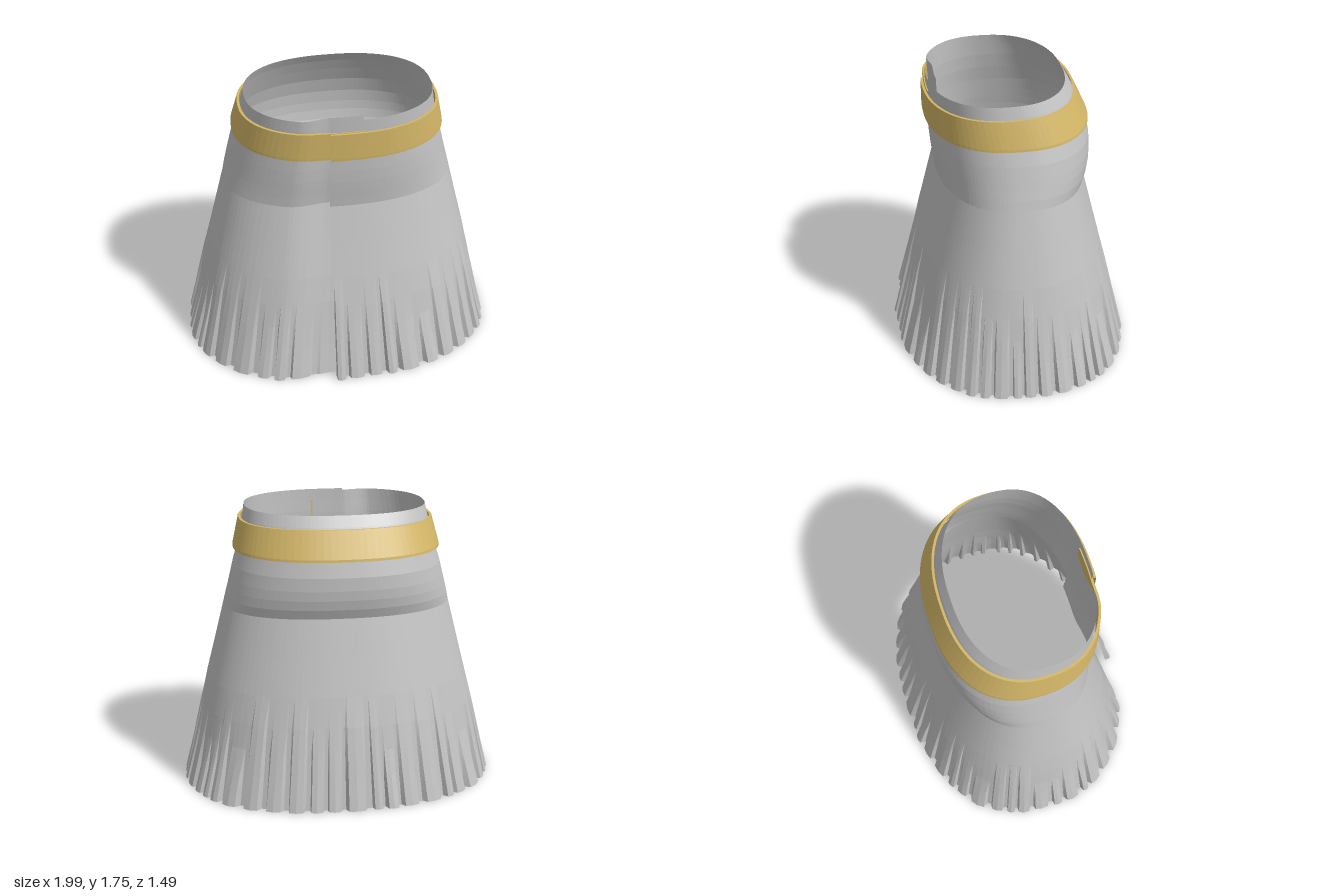
import * as THREE from 'three';

const cloth = new THREE.MeshStandardMaterial({ color: 0xc2c2c2, flatShading: true, side: THREE.DoubleSide });
cloth.name = 'grey cloth';
const gold = new THREE.MeshStandardMaterial({ color: 0xd2b566, flatShading: true, side: THREE.DoubleSide });
gold.name = 'gold belt';

let seed = 11;
function rand() {
  seed = (seed * 16807) % 2147483647;
  return seed / 2147483647;
}

const smooth = (a, b, v) => THREE.MathUtils.smoothstep(v, a, b);

// Wraps a sheet around the body: each level is [y, half width, front z, back z],
// each column is { u, bump, height }. The sheet starts at the front seam and ends tucked under itself.
function wrapSheet(levels, columns, tuck) {
  const pos = [], index = [], n = 2.35;
  for (const [y, a, front, back] of levels) {
    const start = -Math.asin(0.11 / a);
    const end = Math.PI * 2 + Math.asin(0.1 / a);
    for (const { u, bump, height } of columns) {
      const phi = start + (end - start) * u;
      const under = smooth(Math.PI * 2 - 0.5, Math.PI * 2 + start, phi);
      const s = Math.sin(phi), c = Math.cos(phi);
      const q = Math.pow(Math.abs(s) ** n + Math.abs(c) ** n, -1 / n);
      const out = bump * Math.max(0, 1 - y / height) * (1 - under) - tuck * under;
      const mid = (front + back) / 2, depth = (front - back) / 2;
      pos.push((a + out) * s * q, y, mid + (depth + out) * c * q);
    }
  }
  const w = columns.length;
  for (let r = 0; r < levels.length - 1; r++) {
    for (let i = 0; i < w - 1; i++) {
      const p = r * w + i;
      index.push(p, p + 1, p + w + 1, p, p + w + 1, p + w);
    }
  }
  const geo = new THREE.BufferGeometry();
  geo.setAttribute('position', new THREE.Float32BufferAttribute(pos, 3));
  geo.setIndex(index);
  geo.computeVertexNormals();
  return geo;
}

// Irregular pleats: a flat ridge, two steep sides and a narrow valley each
function pleatColumns(count) {
  const widths = Array.from({ length: count }, () => 0.6 + 0.8 * rand());
  const total = widths.reduce((s, v) => s + v, 0);
  const columns = [];
  let at = 0;
  for (const width of widths) {
    const height = 0.33 + 0.35 * rand();
    const ridge = 0.03 + 0.014 * rand();
    for (const [f, k] of [[0, 0], [0.1, 0.85], [0.4, 1], [0.7, 0.85], [0.8, 0]]) {
      columns.push({ u: (at + f * width) / total, bump: ridge * k, height });
    }
    at += width;
  }
  columns.push({ u: 1, bump: 0, height: 0.4 });
  return columns;
}

export function createModel() {
  const model = new THREE.Group();
  model.name = 'wrapSkirt';

  // Skirt: flared hem, narrow waist, padded seat at the back
  const skirtLevels = [
    [0, 0.96, 0.708, -0.708],
    [0.07, 0.947, 0.695, -0.695],
    [0.2, 0.922, 0.67, -0.67],
    [0.35, 0.896, 0.642, -0.642],
    [0.5, 0.868, 0.614, -0.614],
    [0.68, 0.828, 0.572, -0.572],
    [0.9, 0.772, 0.515, -0.515],
    [1.14, 0.712, 0.455, -0.455],
    [1.2, 0.698, 0.461, -0.478],
    [1.26, 0.682, 0.468, -0.49],
    [1.32, 0.667, 0.474, -0.494],
    [1.4, 0.647, 0.479, -0.49],
    [1.5, 0.617, 0.482, -0.465],
    [1.6, 0.592, 0.484, -0.42],
    [1.68, 0.577, 0.488, -0.38],
    [1.745, 0.565, 0.49, -0.34],
  ];
  const skirt = new THREE.Mesh(wrapSheet(skirtLevels, pleatColumns(48), 0.05), cloth);
  skirt.name = 'pleatedSkirt';
  model.add(skirt);

  // Belt: closed section running outside bottom, outside top, inside top, inside bottom
  const beltLevels = [
    [1.495, 0.645, 0.513, -0.485],
    [1.51, 0.643, 0.514, -0.482],
    [1.672, 0.604, 0.515, -0.405],
    [1.672, 0.588, 0.5, -0.39],
    [1.495, 0.625, 0.492, -0.47],
    [1.495, 0.645, 0.513, -0.485],
  ];
  const beltColumns = Array.from({ length: 97 }, (_, i) => ({ u: i / 96, bump: 0, height: 1 }));
  const belt = new THREE.Mesh(wrapSheet(beltLevels, beltColumns, 0.02), gold);
  belt.name = 'belt';
  model.add(belt);

  return model;
}
